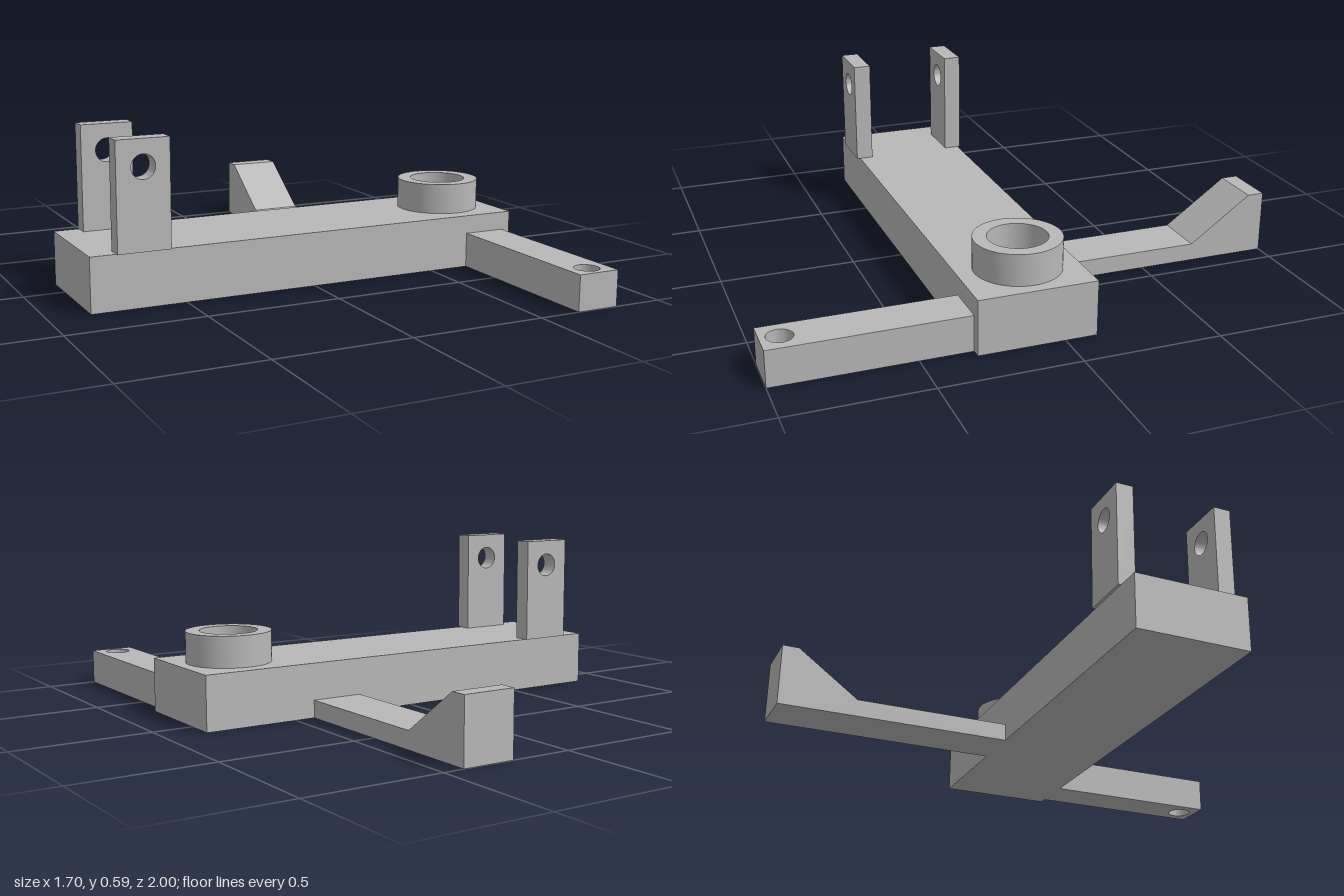
import * as THREE from 'three';
import { toCreasedNormals } from 'three/addons/utils/BufferGeometryUtils.js';

export function createModel() {
  const model = new THREE.Group();
  model.name = 'bracketPlate';
  const grey = new THREE.MeshStandardMaterial({ color: 0xb8b8b8 });
  grey.name = 'plain grey';

  const add = (name, geometry) => {
    const mesh = new THREE.Mesh(geometry, grey);
    mesh.name = name;
    model.add(mesh);
    return mesh;
  };

  const polygon = (points) => new THREE.Shape(points.map(([x, y]) => new THREE.Vector2(x, y)));
  const rect = (x0, x1, y0, y1) => polygon([[x0, y0], [x1, y0], [x1, y1], [x0, y1]]);
  const drill = (shape, x, y, r) => {
    shape.holes.push(new THREE.Path().absarc(x, y, r, 0, Math.PI * 2, true));
    return shape;
  };
  // Extrusion with smooth round walls and sharp edges
  const extrude = (shape, depth) => toCreasedNormals(
    new THREE.ExtrudeGeometry(shape, { depth, bevelEnabled: false, curveSegments: 32 }), 0.6);
  // Stands a plan outline (x, -z) upright, rising from y
  const rise = (shape, height, y) => extrude(shape, height).rotateX(-Math.PI / 2).translate(0, y, 0);

  const back = -0.115, front = 0.312;

  // Main slab
  add('basePlate', rise(rect(-0.85, 0.85, -front, -back), 0.2, 0));

  // Pair of upright lugs with pin holes
  for (const [name, z] of [['frontLug', 0.26], ['backLug', -0.125]]) {
    const lug = drill(rect(-0.755, -0.56, 0.2, 0.592), -0.657, 0.495, 0.044);
    add(name, extrude(lug, 0.065).translate(0, 0, z));
  }

  // Round collar, open down to the slab
  const ring = new THREE.Shape().absarc(0.653, -0.097, 0.155, 0, Math.PI * 2, false);
  add('collar', rise(drill(ring, 0.653, -0.097, 0.105), 0.114, 0.2));

  // Front arm with a vertical hole at its tip
  add('frontArm', rise(drill(rect(0.655, 0.816, -1, -front), 0.735, -0.933, 0.045), 0.131, 0));

  // Back arm, ramping up to a raised tip: side profile in (-z, y)
  const ramp = polygon([
    [-back, 0], [1, 0], [1, 0.231], [0.938, 0.231], [0.705, 0.065], [-back, 0.065],
  ]);
  add('backArm', extrude(ramp, 0.195).rotateY(Math.PI / 2).translate(0.228, 0, 0));

  return model;
}
